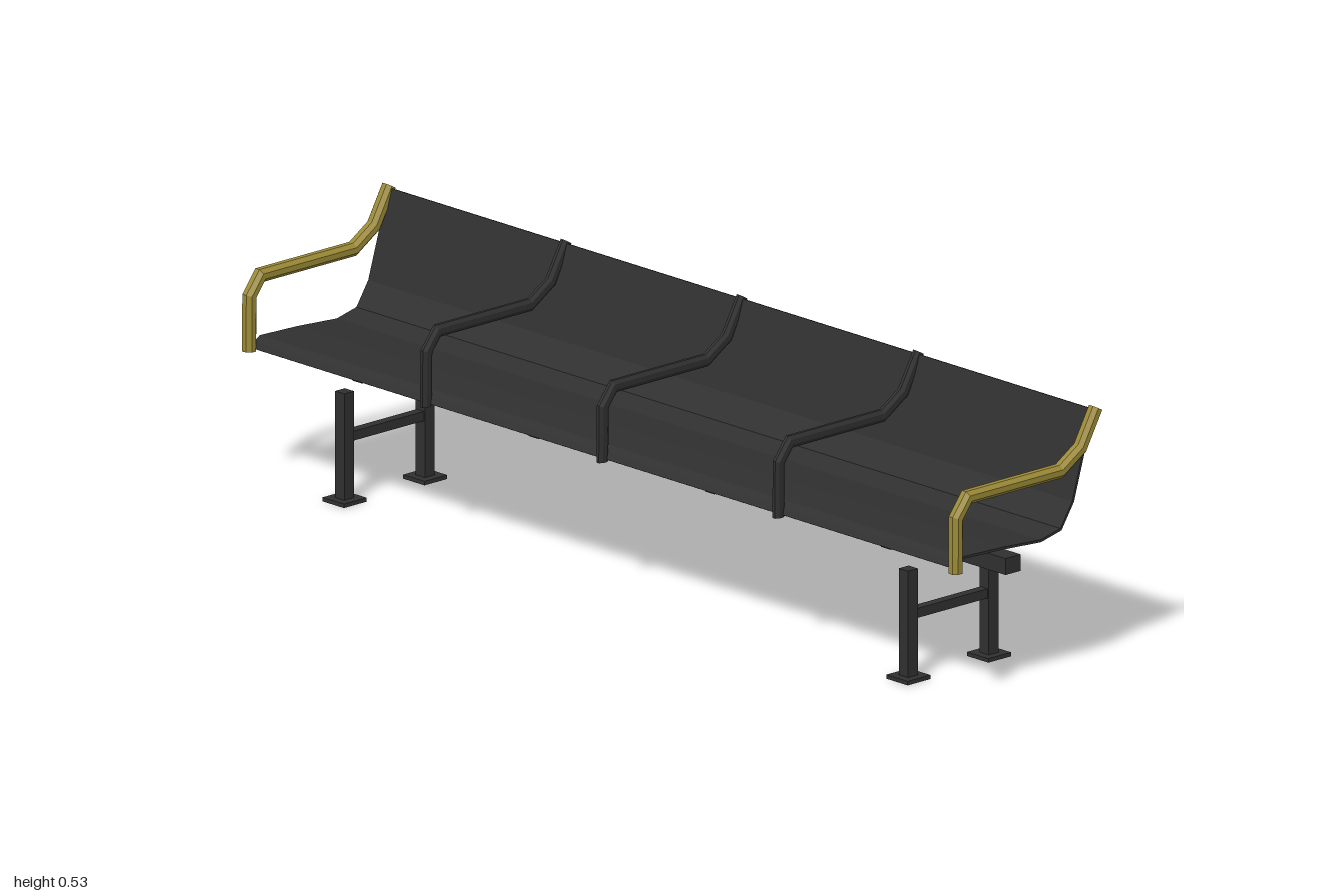
import * as THREE from 'three';

const darkMetal = new THREE.MeshStandardMaterial({ color: 0x303030 });
darkMetal.name = 'dark metal';
const brass = new THREE.MeshStandardMaterial({ color: 0x9c8a36 });
brass.name = 'brass';

// Side profiles as [z, y]
const SEAT = [[0.178, 0.276], [0.172, 0.288], [0.158, 0.296], [0.06, 0.293], [-0.045, 0.286],
  [-0.098, 0.298], [-0.13, 0.347], [-0.183, 0.522]];
const ARM = [[0.184, 0.272], [0.183, 0.382], [0.155, 0.418], [-0.09, 0.418], [-0.145, 0.453], [-0.186, 0.525]];

// Offsets a polyline sideways with mitred corners
function mitres(path) {
  const pts = path.map(([z, y]) => new THREE.Vector2(z, y));
  return pts.map((p, i) => {
    const a = p.clone().sub(pts[Math.max(i - 1, 0)]).normalize();
    const b = pts[Math.min(i + 1, pts.length - 1)].clone().sub(p).normalize();
    const t = a.clone().add(b).normalize();
    const ref = i === 0 ? b : a;
    return { p, n: new THREE.Vector2(t.y, -t.x).divideScalar(t.dot(ref)) };
  });
}

function box(name, w, h, d, x, y, z) {
  const mesh = new THREE.Mesh(new THREE.BoxGeometry(w, h, d), darkMetal);
  mesh.name = name;
  mesh.position.set(x, y, z);
  return mesh;
}

// Thin bent sheet running the full length
function seatSheet(length, thickness) {
  const m = mitres(SEAT);
  const side = (s) => m.map(({ p, n }) => p.clone().addScaledVector(n, s * thickness / 2));
  const geo = new THREE.ExtrudeGeometry(new THREE.Shape([...side(1), ...side(-1).reverse()]),
    { depth: length, bevelEnabled: false });
  geo.rotateY(-Math.PI / 2).translate(length / 2, 0, 0);
  const mesh = new THREE.Mesh(geo, darkMetal);
  mesh.name = 'seatSheet';
  return mesh;
}

// Eight-sided bar swept along the arm profile, with flat facets and end caps
function armBar(name, x, rx, rn, material) {
  const sides = 8, pos = [], idx = [];
  const m = mitres(ARM);
  for (const { p, n } of m) {
    for (let k = 0; k < sides; k++) {
      const a = (k + 0.5) / sides * Math.PI * 2, s = 1 / Math.cos(Math.PI / sides);
      const o = Math.sin(a) * rn * s;
      pos.push(Math.cos(a) * rx * s, p.y + n.y * o, p.x + n.x * o);
    }
  }
  for (let i = 0; i < m.length - 1; i++) {
    for (let k = 0; k < sides; k++) {
      const a = i * sides + k, b = i * sides + (k + 1) % sides;
      idx.push(a, b, b + sides, a, b + sides, a + sides);
    }
  }
  const last = (m.length - 1) * sides;
  for (let k = 1; k < sides - 1; k++) {
    idx.push(0, k + 1, k, last, last + k, last + k + 1);
  }
  // Make the winding face outward
  const v = (i) => new THREE.Vector3().fromArray(pos, i * 3);
  const centre = new THREE.Vector3(0, m[0].p.y, m[0].p.x);
  const normal = v(idx[1]).sub(v(idx[0])).cross(v(idx[2]).sub(v(idx[0])));
  if (normal.dot(v(idx[0]).sub(centre)) < 0) {
    for (let i = 0; i < idx.length; i += 3) [idx[i + 1], idx[i + 2]] = [idx[i + 2], idx[i + 1]];
  }
  let geo = new THREE.BufferGeometry();
  geo.setAttribute('position', new THREE.Float32BufferAttribute(pos, 3));
  geo.setIndex(idx);
  geo = geo.toNonIndexed();
  geo.computeVertexNormals();
  const mesh = new THREE.Mesh(geo, material);
  mesh.name = name;
  mesh.position.x = x;
  return mesh;
}

// H-shaped leg frame on two foot plates
function legFrame(x) {
  const frame = new THREE.Group();
  frame.name = 'legFrame';
  for (const z of [0.12, -0.093]) {
    frame.add(box('leg', 0.026, 0.214, 0.026, x, 0.115, z));
    frame.add(box('footPlate', 0.06, 0.008, 0.06, x, 0.004, z));
  }
  frame.add(box('legBrace', 0.02, 0.019, 0.19, x, 0.131, 0.0135));
  return frame;
}

export function createModel() {
  const bench = new THREE.Group();
  bench.name = 'bench';
  bench.add(seatSheet(1.965, 0.005));

  // End armrests and slimmer dividers between the places
  for (const s of [-1, 1]) bench.add(armBar('armrest', s * 0.986, 0.0135, 0.0135, brass));
  for (const x of [-0.492, 0, 0.492]) bench.add(armBar('divider', x, 0.008, 0.0125, darkMetal));

  // Long rail with cross supports under the seat
  bench.add(box('rail', 1.89, 0.033, 0.04, 0, 0.238, -0.007));
  for (const x of [-0.738, -0.246, 0.246, 0.738]) {
    bench.add(box('seatSupport', 0.027, 0.03, 0.213, x, 0.269, 0.0265));
  }
  for (const s of [-1, 1]) bench.add(legFrame(s * 0.787));
  return bench;
}
